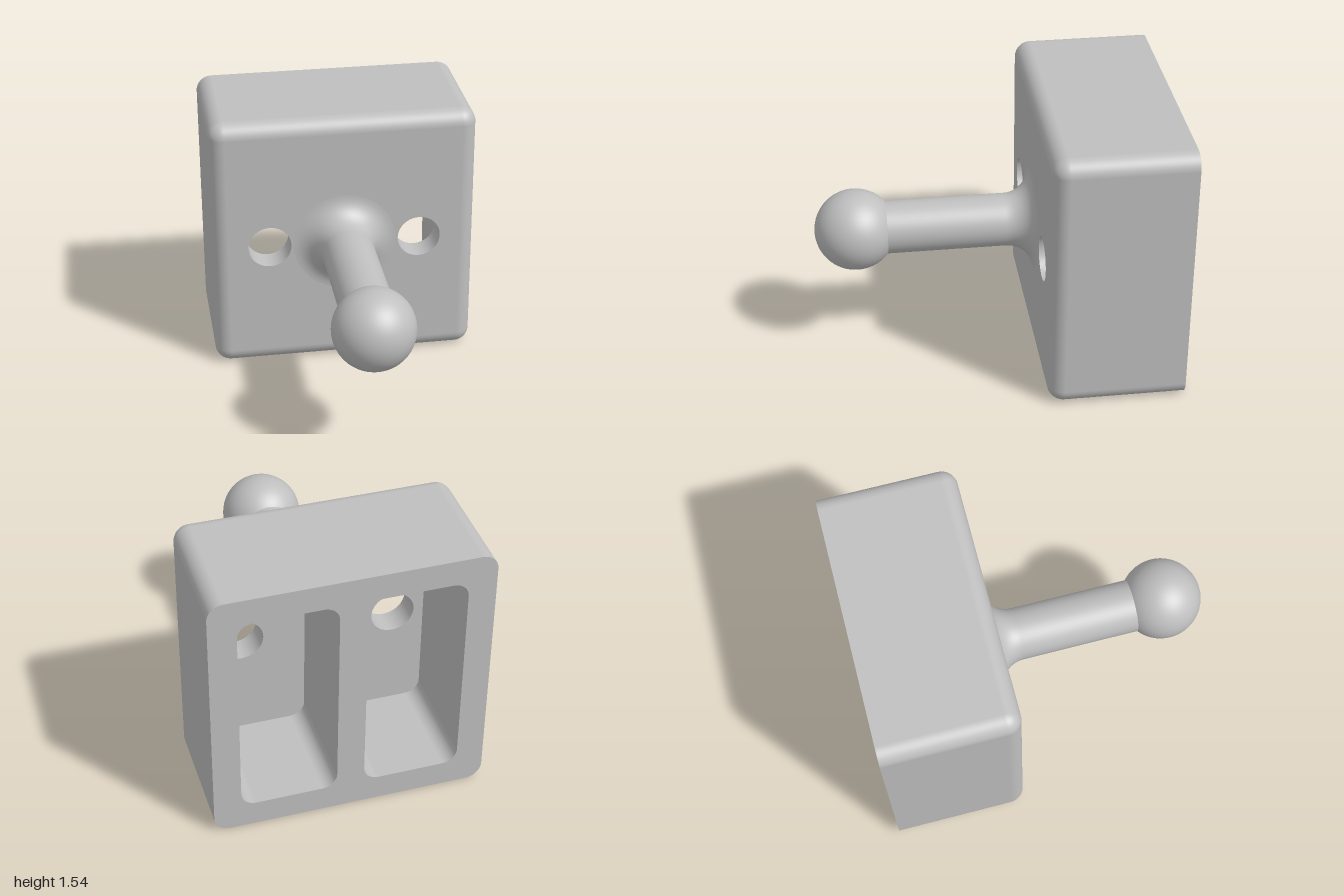
import * as THREE from 'three';

const BACK = -1, FRONT = -0.23, FLOOR = -0.38; // z levels of the block
const HALF = 0.77, CY = 0.77, EDGE = 0.09;     // block half size, centre height, rounding

// Closed counter-clockwise rounded rectangle; each point carries its outward normal
function ring(cx, hw, hh, r, n = 10) {
  const pts = [];
  const corners = [[1, 1], [-1, 1], [-1, -1], [1, -1]];
  corners.forEach(([sx, sy], k) => {
    for (let i = 0; i <= n; i++) {
      const a = (k + i / n) * Math.PI / 2;
      const nx = Math.cos(a), ny = Math.sin(a);
      pts.push({ x: cx + sx * (hw - r) + r * nx, y: CY + sy * (hh - r) + r * ny, nx, ny });
    }
  });
  pts.push(pts[0]);
  return pts;
}

// Skin between rings; tilt leans normals toward +z, side -1 faces inward (levels then run to -z)
function loft(levels, side = 1) {
  const pos = [], nor = [], idx = [];
  const m = levels[0].pts.length;
  levels.forEach(({ pts, z, tilt = 0 }, i) => {
    const c = Math.cos(tilt) * side;
    pts.forEach((p, j) => {
      pos.push(p.x, p.y, z);
      nor.push(p.nx * c, p.ny * c, Math.sin(tilt));
      if (i && j) {
        const a = (i - 1) * m + j - 1, b = a + 1, d = a + m, e = d + 1;
        idx.push(a, b, e, a, e, d);
      }
    });
  });
  const g = new THREE.BufferGeometry();
  g.setAttribute('position', new THREE.Float32BufferAttribute(pos, 3));
  g.setAttribute('normal', new THREE.Float32BufferAttribute(nor, 3));
  g.setIndex(idx);
  return g;
}

const outline = (pts) => pts.slice(0, -1).map((p) => new THREE.Vector2(p.x, p.y));

// Flat face with holes, facing +z or (back) -z
function face(pts, holes, z, back) {
  const shape = new THREE.Shape(outline(pts));
  shape.holes = holes.map((h) => new THREE.Path(outline(h)));
  const g = new THREE.ShapeGeometry(shape);
  if (back) g.rotateY(Math.PI);
  return g.translate(0, 0, z);
}

export function createModel() {
  const group = new THREE.Group();
  const grey = new THREE.MeshStandardMaterial({ color: 0xbfbfbf });
  grey.name = 'plain grey';
  const add = (name, geometry) => {
    const mesh = new THREE.Mesh(geometry, grey);
    mesh.name = name;
    group.add(mesh);
    return mesh;
  };

  const sides = [-1, 1];
  const pockets = sides.map((s) => ring(s * 0.347, 0.27, 0.62, 0.085));
  const bores = sides.map((s) => ring(s * 0.437, 0.125, 0.125, 0.125));

  // Block sides, rolling over into the front face
  const levels = [{ pts: ring(0, HALF, HALF, EDGE), z: BACK }];
  for (let i = 0; i <= 10; i++) {
    const t = i / 10 * Math.PI / 2;
    const r = EDGE * Math.cos(t);
    const h = HALF - EDGE + r;
    levels.push({ pts: ring(0, h, h, r), z: FRONT - EDGE + EDGE * Math.sin(t), tilt: t });
  }
  add('blockSides', loft(levels));

  // Front and back faces
  const flat = HALF - EDGE;
  add('blockFront', face(ring(0, flat, flat, 0, 1), bores, FRONT, false));
  add('blockBack', face(levels[0].pts, pockets, BACK, true));

  // Rear pockets and the screw holes through their floors
  sides.forEach((s, i) => {
    const label = s > 0 ? 'left' : 'right';
    add(label + 'PocketWalls', loft([{ pts: pockets[i], z: FLOOR }, { pts: pockets[i], z: BACK }], -1));
    add(label + 'ScrewHole', loft([{ pts: bores[i], z: FRONT }, { pts: bores[i], z: FLOOR }], -1));
    // the floor turns over to face the back, so it lands on the opposite side
    add((s > 0 ? 'right' : 'left') + 'PocketFloor', face(pockets[i], [bores[i]], FLOOR, true));
  });

  // Stalk with a flared fillet at its foot
  const R = 0.15, BALL = 0.23, ballZ = 0.77;
  const neck = Math.sqrt(BALL * BALL - R * R);
  const profile = [];
  for (let i = 0; i <= 12; i++) {
    const t = i / 12 * Math.PI / 2;
    profile.push(new THREE.Vector2(2 * R - R * Math.sin(t), FRONT + R - R * Math.cos(t)));
  }
  profile.push(new THREE.Vector2(R, FRONT + R + 0.01), new THREE.Vector2(R, ballZ - neck));
  add('stalk', new THREE.LatheGeometry(profile, 48).rotateX(Math.PI / 2).translate(0, CY, 0));

  // Ball, open where it meets the stalk
  const ball = new THREE.SphereGeometry(BALL, 48, 32, 0, Math.PI * 2, 0, Math.PI - Math.asin(R / BALL));
  add('ball', ball.rotateX(Math.PI / 2).translate(0, CY, ballZ));

  return group;
}
